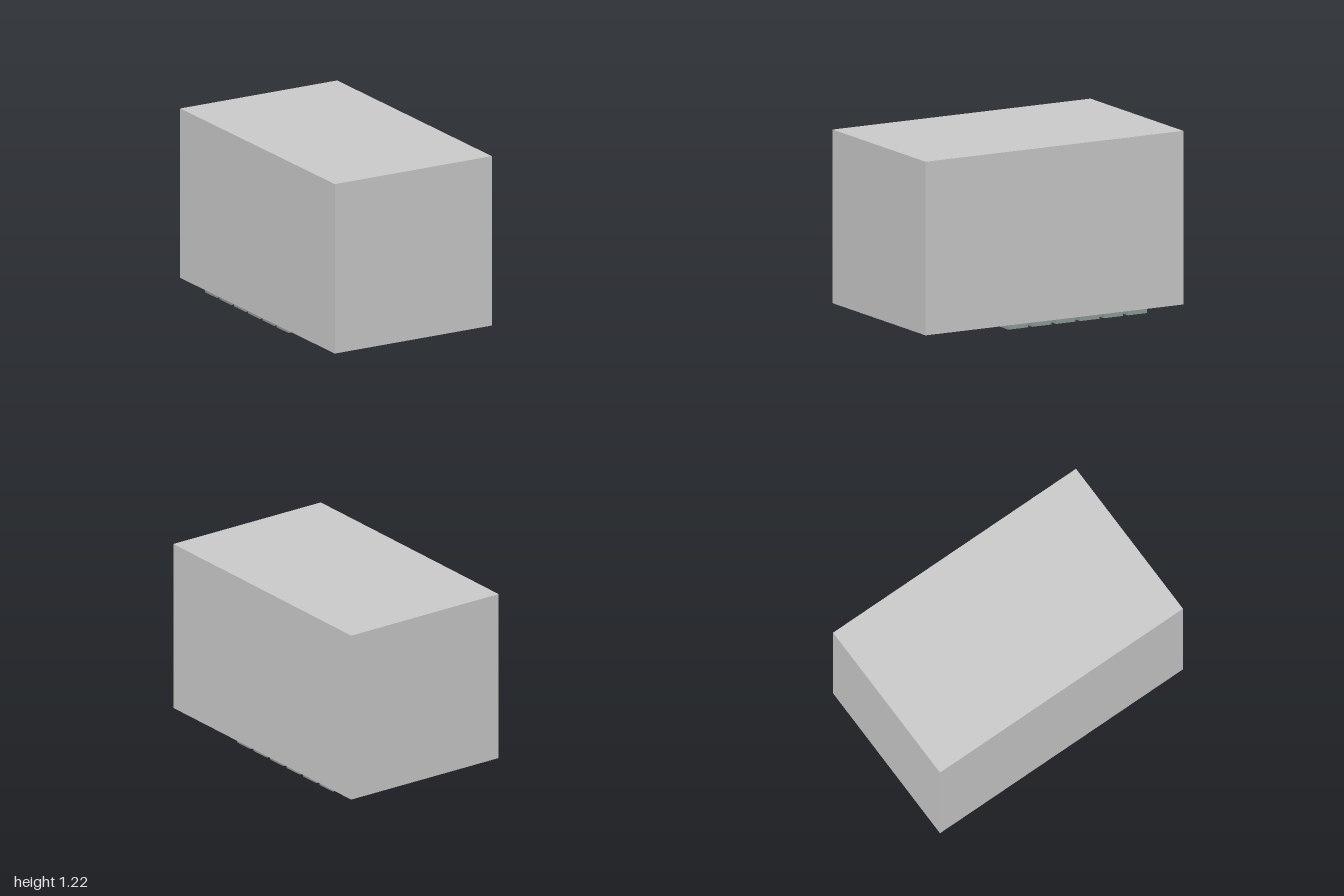
import * as THREE from 'three';

const BASE = 0.038, TOP = 1.224, HALF_W = 0.613, LID = 0.01;
const COLUMNS = [[-0.575, -0.315], [-0.275, -0.015], [0.015, 0.275], [0.315, 0.575]];
const WIDE_COLUMNS = [[-0.575, -0.015], [0.015, 0.575]];

// Anticlockwise rectangle in plan; shape y is -z so that the extrusion rises along +y
function trace(path, x0, x1, z0, z1) {
  path.moveTo(x0, -z1);
  path.lineTo(x1, -z1);
  path.lineTo(x1, -z0);
  path.lineTo(x0, -z0);
  path.closePath();
  return path;
}

function box(name, material, x0, x1, y0, y1, z0, z1) {
  const mesh = new THREE.Mesh(new THREE.BoxGeometry(x1 - x0, y1 - y0, z1 - z0), material);
  mesh.position.set((x0 + x1) / 2, (y0 + y1) / 2, (z0 + z1) / 2);
  mesh.name = name;
  return mesh;
}

export function createModel() {
  const group = new THREE.Group();
  group.name = 'panelBlock';
  const grey = new THREE.MeshStandardMaterial({ color: 0xcccccc, flatShading: true });
  const keySide = new THREE.MeshStandardMaterial({ color: 0x919d9a, flatShading: true });
  const keyFace = new THREE.MeshStandardMaterial({ color: 0x98cbe8, flatShading: true });

  // Body with deep pockets opening downwards
  const outline = trace(new THREE.Shape(), -HALF_W, HALF_W, -1, 1);
  const cut = (...r) => outline.holes.push(trace(new THREE.Path(), ...r));
  // two long slots at the back
  cut(-0.57, 0.57, -0.95, -0.89);
  cut(-0.57, 0.57, -0.85, -0.79);
  // four large windows
  for (const [x0, x1] of COLUMNS) cut(x0, x1, 0.38, 0.6);
  // seven narrow windows along the front
  for (let i = 0; i < 7; i++) {
    const x = (i - 3) * 0.167;
    cut(x - 0.063, x + 0.063, 0.7, 0.93);
  }
  const bodyGeometry = new THREE.ExtrudeGeometry(outline, { depth: TOP - BASE - LID, bevelEnabled: false });
  bodyGeometry.rotateX(-Math.PI / 2);
  const body = new THREE.Mesh(bodyGeometry, grey);
  body.name = 'body';
  body.position.y = BASE;
  group.add(body);

  // Lid closing the pockets at the top; its underside is the pocket ceiling
  group.add(box('lid', grey, -HALF_W, HALF_W, TOP - LID, TOP, -1, 1));

  // Six rows of keys under the body; the bottom face is blue
  const keyMaterials = [keySide, keySide, keySide, keyFace, keySide, keySide];
  const keys = new THREE.Group();
  keys.name = 'keys';
  for (let row = 0; row < 6; row++) {
    const z = 0.26 - row * 0.185;
    for (const [x0, x1] of row === 5 ? WIDE_COLUMNS : COLUMNS) {
      keys.add(box('key', keyMaterials, x0, x1, 0, BASE, z - 0.075, z + 0.075));
    }
  }
  group.add(keys);
  return group;
}
